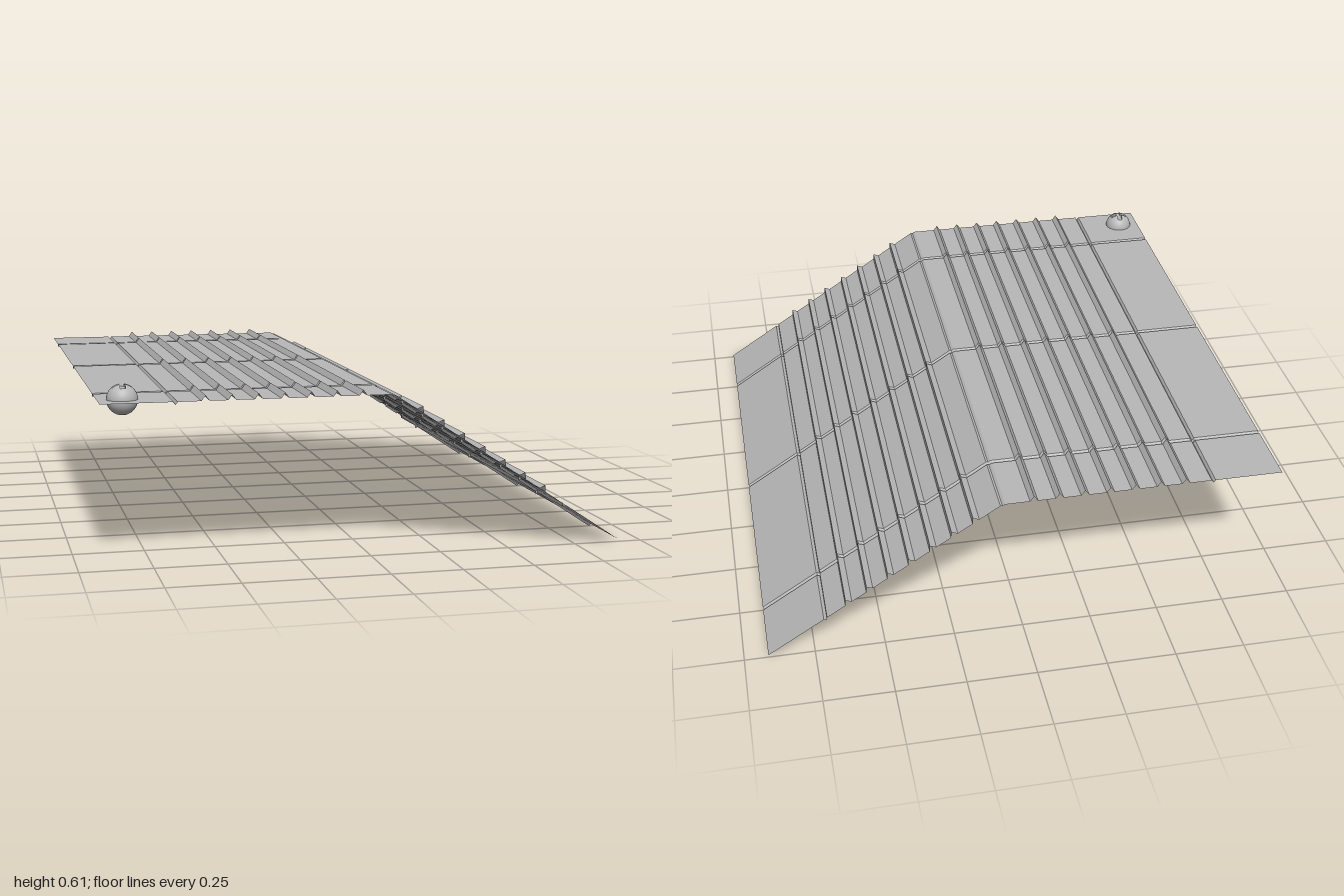
import * as THREE from 'three';

const metal = new THREE.MeshStandardMaterial({ color: 0xb8b8b8, side: THREE.DoubleSide });
metal.name = 'greyMetal';

// Indexed grid of points: rows of equal length, each point [x, y, z]
function gridGeometry(rows, flat) {
  const n = rows[0].length, index = [];
  for (let i = 0; i < rows.length - 1; i++) {
    for (let j = 0; j < n - 1; j++) {
      const a = i * n + j, b = a + 1, c = a + n, d = c + 1;
      index.push(a, b, c, b, d, c);
    }
  }
  let g = new THREE.BufferGeometry();
  g.setAttribute('position', new THREE.Float32BufferAttribute(rows.flat(2), 3));
  g.setIndex(index);
  if (flat) g = g.toNonIndexed();
  g.computeVertexNormals();
  return g;
}

// Bent sheet: ridges and creases run along z, seams run across
function sheetGeometry() {
  const foldX = 0.08, foldY = 0.562, cos = 0.835, sin = 0.55;
  const profile = [[0, -0.006], [0.009, 0]]; // distance from the fold, height
  for (let i = 0; i < 7; i++) {
    const s = 0.11 + i * 0.09;
    profile.push([s - 0.014, 0], [s, 0.019], [s + 0.014, 0]);
  }
  profile.push([0.743, 0], [0.75, -0.01], [0.757, 0], [1, 0]);
  const full = [...profile.slice(1).reverse().map(([s, h]) => [-s, h]), ...profile];

  const cross = [[-1, 0]];
  for (const z of [-0.75, 0, 0.75]) cross.push([z - 0.008, 0], [z, -0.01], [z + 0.008, 0]);
  cross.push([1, 0]);

  const rows = full.map(([s, h]) => cross.map(([z, dip]) => {
    const y = h + dip;
    return s <= 0
      ? [foldX + s, foldY + y, z]
      : [foldX + s * cos + y * sin, foldY - s * sin + y * cos, z];
  }));
  return gridGeometry(rows, true);
}

// Ball-shaped screw with a cross slot sunk into its top
function addScrew(group) {
  const R = 0.053, half = 0.009, reach = 0.034, floor = 0.039, segments = 200;
  const slotRadius = (t) => {
    const c = Math.abs(Math.cos(t)), s = Math.abs(Math.sin(t));
    return Math.min(reach / Math.max(c, s), half / Math.max(Math.min(c, s), 1e-6));
  };
  const ring = (f) => Array.from({ length: segments + 1 }, (_, i) => {
    const t = (i / segments) * Math.PI * 2;
    const [r, y] = f(slotRadius(t));
    return [r * Math.cos(t), y, r * Math.sin(t)];
  });
  const rim = (r) => Math.sqrt(R * R - r * r);
  const parts = {
    screwSlotFloor: [ring(() => [0, floor]), ring((r) => [r, floor])],
    screwSlotWall: [ring((r) => [r, floor]), ring((r) => [r, rim(r)])],
    screwBall: [],
  };
  for (let k = 0; k <= 20; k++) {
    parts.screwBall.push(ring((r) => {
      const start = Math.asin(r / R);
      const a = start + (Math.PI - start) * (k / 20);
      return [R * Math.sin(a), R * Math.cos(a)];
    }));
  }
  const screw = new THREE.Group();
  screw.name = 'screw';
  for (const [name, rows] of Object.entries(parts)) {
    const mesh = new THREE.Mesh(gridGeometry(rows, name === 'screwSlotWall'), metal);
    mesh.name = name;
    screw.add(mesh);
  }
  screw.position.set(-0.835, 0.562, 0.9);
  group.add(screw);
}

export function createModel() {
  const group = new THREE.Group();
  group.name = 'ribbedRoofPanel';
  const sheet = new THREE.Mesh(sheetGeometry(), metal);
  sheet.name = 'bentSheet';
  group.add(sheet);
  addScrew(group);
  return group;
}
